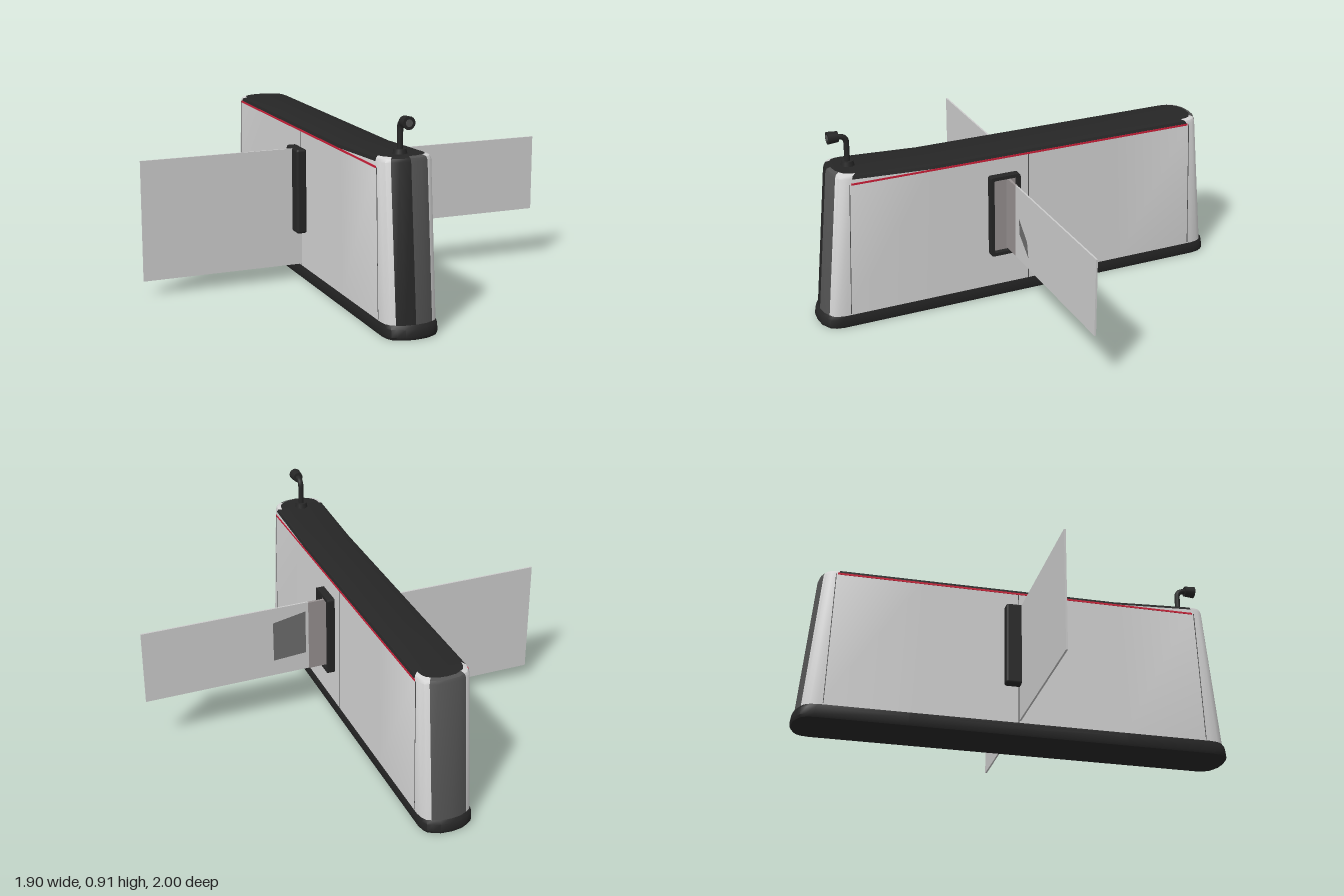
import * as THREE from 'three';
import { toCreasedNormals } from 'three/addons/utils/BufferGeometryUtils.js';
import { RoundedBoxGeometry } from 'three/addons/geometries/RoundedBoxGeometry.js';

const mat = (name, color, side = THREE.FrontSide) => {
  const m = new THREE.MeshStandardMaterial({ color, side });
  m.name = name;
  return m;
};

export function createModel() {
  const group = new THREE.Group();
  const M = {
    panel: mat('light grey panel', 0xd4d4d4),
    black: mat('black trim', 0x262626),
    grey: mat('dark grey end', 0x525252),
    red: mat('red light strip', 0xd0203a),
    flap: mat('flap grey', 0xcccccc),
    bracket: mat('bracket grey', 0x969090),
    decal: mat('flap mark', 0x6c6c6c, THREE.DoubleSide),
  };
  const CX = -0.0775; // the cabinet sits off centre

  const add = (name, geo, material, x = 0, y = 0, z = 0) => {
    const mesh = new THREE.Mesh(geo, material);
    mesh.name = name;
    mesh.position.set(x, y, z);
    group.add(mesh);
    return mesh;
  };
  const box = (name, m, x0, x1, y0, y1, z0, z1) =>
    add(name, new THREE.BoxGeometry(x1 - x0, y1 - y0, z1 - z0), m,
      (x0 + x1) / 2, (y0 + y1) / 2, (z0 + z1) / 2);

  // Plan outline from front centre round the model's left side: x, z, zone of the next edge
  const half = [
    [0, 1, 'end'], [0.05, 0.995, 'end'], [0.083, 0.98, 'corner'], [0.103, 0.968, 'corner'],
    [0.116, 0.945, 'corner'], [0.1225, 0.91, 'side'], [0.1225, 0.5, 'side'],
    [0.1225, -0.5, 'side'], [0.1225, -0.91, 'corner'], [0.116, -0.945, 'corner'],
    [0.103, -0.968, 'corner'], [0.083, -0.98, 'end'], [0.05, -0.995, 'end'],
  ];
  const outline = half.map(([x, z, zone]) => ({ x, z, zone }));
  outline.push({ x: 0, z: -1, zone: 'end' });
  for (let i = half.length - 1; i > 0; i--) {
    outline.push({ x: -half[i][0], z: half[i][1], zone: half[i - 1][2] });
  }

  // Lofts the outline through levels [y, width scale, half length], sorting faces by material
  const loft = (prefix, levels, pick, closeTop, closeBottom) => {
    const buckets = {};
    const at = (p, [y, w, l]) => {
      const lift = y > 0.7 ? 0.02 * Math.max(0, (p.z - 0.5) / 0.45) : 0;
      return [CX + p.x * w, y + lift, p.z * l];
    };
    const put = (key, ...pts) => (buckets[key] ??= []).push(...pts.flat());
    const last = levels.length - 1;
    outline.forEach((p, i) => {
      const q = outline[(i + 1) % outline.length];
      for (let k = 0; k < last; k++) {
        const a = at(p, levels[k]), b = at(q, levels[k]);
        const c = at(q, levels[k + 1]), d = at(p, levels[k + 1]);
        put(pick(p, q, k), a, b, c, a, c, d);
      }
      const mid = (l) => [[CX, l[0], p.z * l[2]], [CX, l[0], q.z * l[2]]];
      if (closeTop) {
        const a = at(p, levels[last]), b = at(q, levels[last]);
        const [m, n] = mid(levels[last]);
        m[1] = a[1]; n[1] = b[1];
        put('black', a, b, n, a, n, m);
      }
      if (closeBottom) {
        const [m, n] = mid(levels[0]);
        const a = at(p, levels[0]), b = at(q, levels[0]);
        put('black', a, n, b, a, m, n);
      }
    });
    for (const [key, pos] of Object.entries(buckets)) {
      const geo = new THREE.BufferGeometry();
      geo.setAttribute('position', new THREE.Float32BufferAttribute(pos, 3));
      geo.computeVertexNormals();
      add(`${prefix} ${key}`, toCreasedNormals(geo, 0.6), M[key]);
    }
  };

  // Plinth and tapering cabinet with a dark lid
  loft('plinth', [[0, 0.96, 0.995], [0.012, 1, 1], [0.045, 1, 0.995], [0.06, 0.985, 0.983]],
    () => 'black', true, true);
  loft('cabinet', [[0.06, 0.985, 0.983], [0.705, 0.985, 0.918], [0.718, 0.94, 0.912], [0.724, 0.82, 0.895]],
    (p, q, k) => {
      if (p.zone === 'side') return k === 0 ? 'panel' : 'black';
      if (p.zone === 'corner') return 'panel';
      return p.z > 0 && p.x + q.x < 0 ? 'black' : 'grey';
    }, true, false);

  // Side details: red light strips, centre seams and corner seams
  for (const s of [-1, 1]) {
    const x = CX + s * 0.1207;
    box('lightStrip', M.red, x - 0.002, x + 0.002, 0.696, 0.705, -0.84, 0.84);
    box('panelSeam', M.grey, x - 0.001, x + 0.001, 0.06, 0.695, -0.008, -0.004);
    for (const e of [-1, 1]) {
      const seam = box('cornerSeam', M.grey, x - 0.001, x + 0.001, 0.065, 0.7, e * 0.86 - 0.0015, e * 0.86 + 0.0015);
      seam.rotation.x = -e * 0.04;
    }
  }

  // Left-hand frame on the +x side: rounded rectangle with an opening
  const rounded = (T, w, h, r) => {
    const s = new T();
    s.moveTo(-w + r, -h);
    s.lineTo(w - r, -h); s.quadraticCurveTo(w, -h, w, -h + r);
    s.lineTo(w, h - r); s.quadraticCurveTo(w, h, w - r, h);
    s.lineTo(-w + r, h); s.quadraticCurveTo(-w, h, -w, h - r);
    s.lineTo(-w, -h + r); s.quadraticCurveTo(-w, -h, -w + r, -h);
    return s;
  };
  const frameShape = rounded(THREE.Shape, 0.073, 0.198, 0.012);
  frameShape.holes.push(rounded(THREE.Path, 0.057, 0.182, 0.006));
  const frameGeo = new THREE.ExtrudeGeometry(frameShape, { depth: 0.04, bevelEnabled: false, curveSegments: 4 });
  frameGeo.rotateY(Math.PI / 2);
  add('leftFlapFrame', frameGeo, M.black, 0.04, 0.425, 0.123);
  box('leftFrameInset', M.bracket, 0.04, 0.055, 0.24, 0.61, 0.064, 0.182);
  box('leftFlapBracket', M.bracket, 0.05, 0.155, 0.25, 0.603, 0.099, 0.111);
  box('leftFlap', M.flap, 0.155, 0.95, 0.25, 0.605, 0.102, 0.11);

  // Marks on both faces of the left flap
  const mark = (name, pts, z) =>
    add(name, new THREE.ShapeGeometry(new THREE.Shape(pts.map(([x, y]) => new THREE.Vector2(x, y)))), M.decal, 0, 0, z);
  mark('frontMark', [[0.2, 0.455], [0.285, 0.38], [0.3, 0.305], [0.2, 0.385]], 0.112);
  mark('backMark', [[0.17, 0.56], [0.17, 0.34], [0.33, 0.33], [0.33, 0.53]], 0.1);

  // Right-hand holder and the taller flap
  add('rightFlapHolder', new RoundedBoxGeometry(0.05, 0.395, 0.14, 2, 0.012), M.black, -0.22, 0.4275, -0.005);
  box('rightFlap', M.flap, -0.955, -0.198, 0.07, 0.62, -0.004, 0.004);

  // Scanner on a bent stem
  const sx = -0.08, sz = 0.815;
  add('scannerBase', new THREE.CylinderGeometry(0.026, 0.032, 0.026, 20), M.black, sx, 0.75, sz);
  const path = new THREE.CurvePath();
  const v = (y, z) => new THREE.Vector3(sx, y, z);
  path.add(new THREE.LineCurve3(v(0.74, sz), v(0.845, sz)));
  path.add(new THREE.QuadraticBezierCurve3(v(0.845, sz), v(0.88, sz), v(0.88, sz + 0.035)));
  path.add(new THREE.LineCurve3(v(0.88, sz + 0.035), v(0.88, sz + 0.05)));
  add('scannerStem', new THREE.TubeGeometry(path, 28, 0.013, 10), M.black);
  const head = add('scannerHead', new THREE.CylinderGeometry(0.028, 0.024, 0.048, 16), M.black, sx, 0.882, 0.877);
  head.rotation.x = Math.PI / 2;
  const lens = add('scannerLens', new THREE.CylinderGeometry(0.015, 0.015, 0.004, 16), M.grey, sx, 0.882, 0.902);
  lens.rotation.x = Math.PI / 2;

  return group;
}
